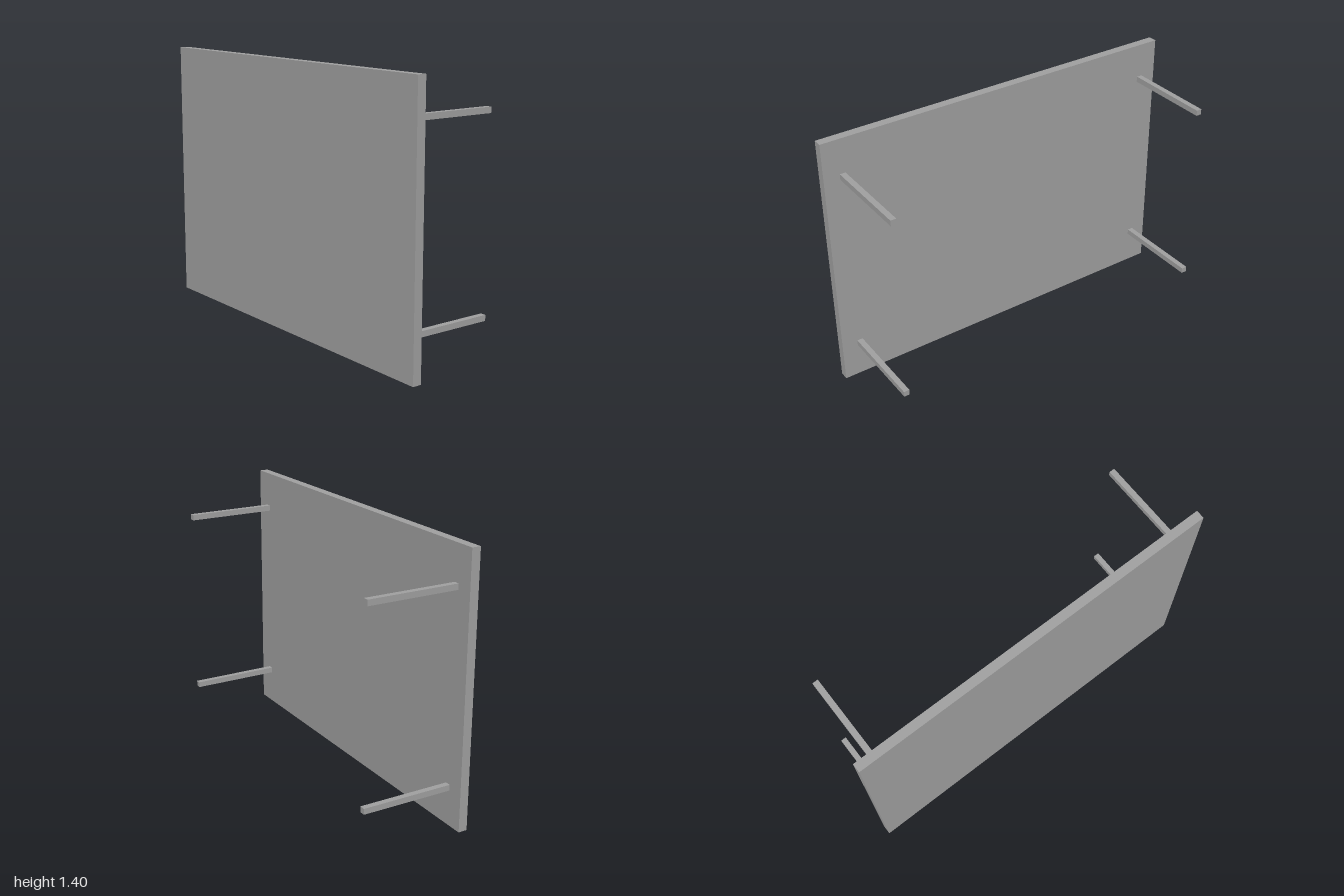
import * as THREE from 'three';

const DEPTH = 0.53, THICK = 0.047, HEIGHT = 1.4;

export function createModel() {
  const model = new THREE.Group();
  model.name = 'wallPanel';
  const grey = new THREE.MeshStandardMaterial({ color: 0xa0a0a0 });
  grey.name = 'grey';

  function box(name, w, h, d, x, y, z) {
    const mesh = new THREE.Mesh(new THREE.BoxGeometry(w, h, d), grey);
    mesh.name = name;
    mesh.position.set(x, y, z);
    model.add(mesh);
  }

  // Upright slab at the front
  box('panel', 2, HEIGHT, THICK, 0, HEIGHT / 2, DEPTH / 2 - THICK / 2);

  // Four square rods reaching back from the panel
  for (const [side, x] of [['Left', 0.9], ['Right', -0.9]]) {
    for (const [level, y] of [['lower', 0.2], ['upper', 1.2]]) {
      box(`${level}${side}Rod`, 0.03, 0.03, DEPTH - THICK, x, y, -THICK / 2);
    }
  }
  return model;
}
